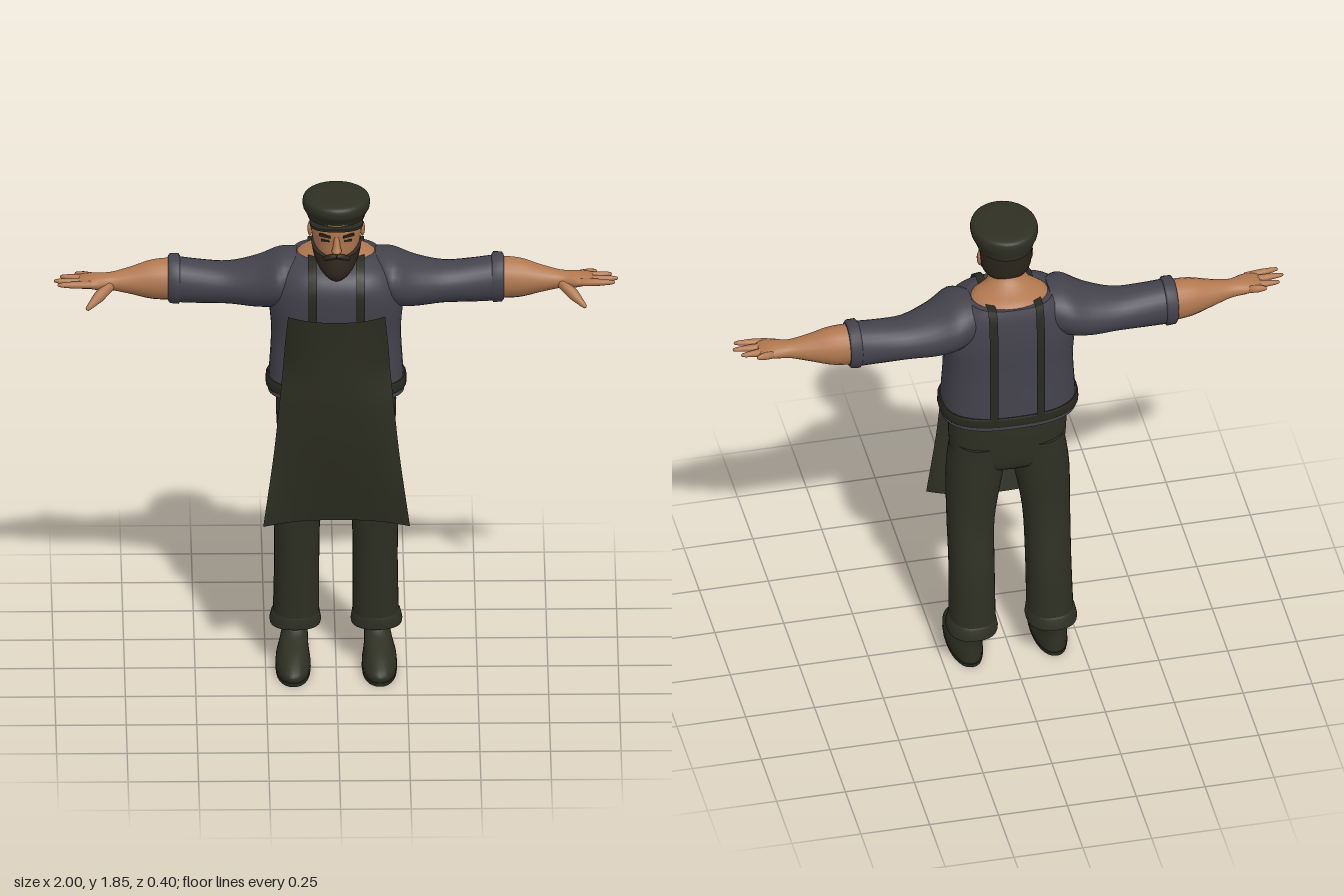
import * as THREE from 'three';

const mat = (name, hex) => {
  const m = new THREE.MeshStandardMaterial({ color: hex, side: THREE.DoubleSide });
  m.name = name;
  return m;
};

// Refine rows of numbers with a Catmull-Rom spline, k steps per span
function smooth(rows, k = 4) {
  const out = [], n = rows.length;
  const row = i => rows[Math.max(0, Math.min(n - 1, i))];
  for (let i = 0; i < n - 1; i++) {
    for (let s = 0; s < k; s++) {
      const t = s / k;
      out.push(rows[i].map((b, c) => {
        const a = row(i - 1)[c], d = row(i + 1)[c], e = row(i + 2)[c];
        return 0.5 * (2 * b + (d - a) * t + (2 * a - 5 * b + 4 * d - e) * t * t + (3 * b - a - 3 * d + e) * t * t * t);
      }));
    }
  }
  out.push(rows[n - 1]);
  return out;
}

// Capped skin over oval rings. Axis y: [y, cx, cz, rx, rz]; axis x: [x, cy, cz, ry, rz]
function loft(rows, { axis = 'y', p = 2, tilt = 0, n = 28 } = {}) {
  const pos = [], idx = [];
  const pw = v => Math.sign(v) * Math.abs(v) ** (2 / p);
  const put = ([s, c1, c2, a, b], u, v) => {
    if (axis === 'y') pos.push(c1 + a * u, s - tilt * b * v, c2 + b * v);
    else pos.push(s, c1 + a * u, c2 - b * v);
  };
  const ring = r => {
    for (let j = 0; j < n; j++) {
      const t = j / n * Math.PI * 2;
      put(r, pw(Math.cos(t)), pw(Math.sin(t)));
    }
  };
  rows.forEach(ring);
  for (let i = 0; i < rows.length - 1; i++) {
    for (let j = 0; j < n; j++) {
      const a = i * n + j, b = i * n + (j + 1) % n;
      idx.push(a, a + n, b + n, a, b + n, b);
    }
  }
  [rows[0], rows[rows.length - 1]].forEach((r, end) => {
    const base = pos.length / 3;
    ring(r);
    put(r, 0, 0);
    for (let j = 0; j < n; j++) {
      const a = base + j, b = base + (j + 1) % n;
      idx.push(base + n, ...(end ? [b, a] : [a, b]));
    }
  });
  return surface(pos, idx);
}

function surface(pos, idx) {
  const g = new THREE.BufferGeometry();
  g.setAttribute('position', new THREE.Float32BufferAttribute(pos, 3));
  g.setIndex(idx);
  g.computeVertexNormals();
  return g;
}

// Open sheet through rows of points
function sheet(rows) {
  const w = rows[0].length, idx = [];
  for (let i = 0; i < rows.length - 1; i++)
    for (let j = 0; j < w - 1; j++) {
      const a = i * w + j;
      idx.push(a, a + w, a + 1, a + 1, a + w, a + w + 1);
    }
  return surface(rows.flat(2), idx);
}

function mirror(geo) {
  const g = geo.clone().scale(-1, 1, 1), ix = g.index.array;
  for (let i = 0; i < ix.length; i += 3) [ix[i], ix[i + 1]] = [ix[i + 1], ix[i]];
  return g;
}

// Tapered round finger between two points
function finger(from, to, r0, r1) {
  const a = new THREE.Vector3(...from), d = new THREE.Vector3(...to).sub(a), L = d.length();
  const prof = [[0.001, 0], [r0, 0.002], [r0 * 0.95, L * 0.5], [r1, L * 0.85], [r1 * 0.65, L * 0.97], [0.0005, L]];
  const g = new THREE.LatheGeometry(prof.map(q => new THREE.Vector2(...q)), 10);
  g.applyQuaternion(new THREE.Quaternion().setFromUnitVectors(new THREE.Vector3(0, 1, 0), d.normalize()));
  return g.translate(...from);
}

export function createModel() {
  const model = new THREE.Group();
  const shirt = mat('shirt grey', 0x44434d), skin = mat('skin', 0xb1784f);
  const cloth = mat('dark olive cloth', 0x2f3023), apronMat = mat('apron olive', 0x2d2e21);
  const hair = mat('dark brown hair', 0x2b241a), strapMat = mat('strap', 0x282a20);

  const add = (name, geo, m) => {
    const mesh = new THREE.Mesh(geo, m);
    mesh.name = name;
    model.add(mesh);
  };
  const pair = (name, geo, m) => {
    add(name + 'Left', geo, m);
    add(name + 'Right', mirror(geo), m);
  };

  // Shirt body, belt and bare shoulders
  const P = 2.6;
  const torso = smooth([
    [1.075, 0, -0.032, 0.242, 0.155], [1.15, 0, -0.032, 0.238, 0.158], [1.3, 0, -0.034, 0.23, 0.155],
    [1.42, 0, -0.028, 0.238, 0.164], [1.5, 0, -0.025, 0.225, 0.163], [1.555, 0, -0.035, 0.195, 0.145],
    [1.59, 0, -0.058, 0.15, 0.11]]);
  add('shirtBody', loft(torso, { p: P, n: 40 }), shirt);
  add('belt', loft([[1.092, 0, -0.032, 0.246, 0.16], [1.098, 0, -0.032, 0.25, 0.164],
    [1.125, 0, -0.032, 0.249, 0.164], [1.131, 0, -0.032, 0.244, 0.161]], { p: P, n: 40 }), strapMat);
  add('neck', loft(smooth([[1.583, 0, -0.058, 0.146, 0.107], [1.602, 0, -0.056, 0.122, 0.09],
    [1.625, 0, -0.035, 0.08, 0.068], [1.66, 0, -0.008, 0.062, 0.06], [1.72, 0, 0, 0.06, 0.06]])), skin);

  // Straps lie on the shirt, front to back over the shoulder
  const onShirt = (row, x, side) => {
    const [y, , cz, a, b] = row;
    return [x, y + (y > 1.54 ? 0.008 : 0), cz + side * (b * Math.max(0, 1 - (x / a) ** P) ** (1 / P) + 0.007)];
  };
  const front = torso.filter(r => r[0] > 1.38), back = torso.filter(r => r[0] > 1.1).reverse();
  const strip = side => r => [0.07, 0.085, 0.1].map(x => onShirt(r, x, side));
  pair('strap', sheet([...front.map(strip(1)), ...back.map(strip(-1))]), strapMat);

  // Sleeves, rolled cuffs and forearms
  pair('sleeve', loft(smooth([
    [0.14, 1.515, -0.055, 0.083, 0.105], [0.2, 1.497, -0.045, 0.1, 0.135], [0.28, 1.473, -0.058, 0.088, 0.115],
    [0.38, 1.463, -0.07, 0.074, 0.09], [0.48, 1.465, -0.075, 0.078, 0.08], [0.58, 1.472, -0.08, 0.084, 0.077]]),
    { axis: 'x' }), shirt);
  pair('cuff', loft([[0.552, 1.472, -0.08, 0.083, 0.076], [0.558, 1.473, -0.08, 0.092, 0.083],
    [0.588, 1.474, -0.08, 0.09, 0.082], [0.595, 1.474, -0.08, 0.08, 0.074]], { axis: 'x' }), shirt);
  pair('forearm', loft(smooth([
    [0.57, 1.473, -0.08, 0.076, 0.071], [0.65, 1.473, -0.075, 0.071, 0.065], [0.73, 1.472, -0.068, 0.048, 0.05],
    [0.8, 1.473, -0.06, 0.031, 0.038], [0.85, 1.476, -0.052, 0.027, 0.047], [0.89, 1.48, -0.05, 0.018, 0.05],
    [0.91, 1.481, -0.05, 0.01, 0.043]]), { axis: 'x', n: 20 }), skin);

  // Four fingers and a thumb
  [[-0.088, 0.925, -0.102], [-0.065, 0.978, -0.076], [-0.037, 1.0, -0.037], [-0.012, 0.988, 0]].forEach(([z0, x, z], i) =>
    pair('finger' + (i + 1), finger([0.865, 1.479, z0], [x, 1.484, z], 0.014, 0.009), skin));
  pair('thumb', finger([0.8, 1.468, -0.04], [0.885, 1.405, 0.042], 0.021, 0.011), skin);

  // Trousers
  add('hips', loft(smooth([[0.83, 0, -0.025, 0.15, 0.075], [0.87, 0, -0.022, 0.2, 0.112],
    [1.0, 0, -0.022, 0.213, 0.124], [1.11, 0, -0.022, 0.21, 0.126]]), { p: 2.3 }), cloth);
  pair('trouserLeg', loft(smooth([
    [0.19, 0.141, -0.083, 0.082, 0.09], [0.4, 0.139, -0.066, 0.08, 0.095], [0.6, 0.137, -0.04, 0.084, 0.092],
    [0.8, 0.12, -0.026, 0.1, 0.108], [0.95, 0.1, -0.022, 0.1, 0.115]]), { p: 2.3 }), cloth);
  pair('trouserCuff', loft([[0.145, 0.144, -0.09, 0.09, 0.095], [0.155, 0.144, -0.088, 0.092, 0.096],
    [0.185, 0.143, -0.085, 0.086, 0.093], [0.195, 0.142, -0.083, 0.08, 0.088]], { p: 2.3 }), cloth);

  // Shoes
  pair('shoe', loft(smooth([
    [0.012, 0.153, 0.015, 0.06, 0.157], [0.035, 0.153, 0.016, 0.062, 0.158], [0.06, 0.153, 0.002, 0.058, 0.143],
    [0.09, 0.15, -0.025, 0.051, 0.115], [0.13, 0.145, -0.074, 0.045, 0.07], [0.17, 0.142, -0.085, 0.043, 0.055]]),
    { p: 2.2 }), cloth);
  pair('sole', loft([[0, 0.153, 0.015, 0.061, 0.16], [0.014, 0.153, 0.015, 0.063, 0.161]], { p: 2.2 }), strapMat);

  // Apron rows: y, half width, z at the middle, z at the edge
  const apron = smooth([[1.42, 0.172, 0.2, 0.145], [1.3, 0.183, 0.187, 0.115], [1.2, 0.19, 0.181, 0.1],
    [1.1, 0.2, 0.175, 0.12], [1.0, 0.21, 0.162, 0.125], [0.85, 0.226, 0.135, 0.122], [0.6, 0.26, 0.07, 0.128]]);
  add('apron', sheet(apron.map(([y, w, zm, ze]) => Array.from({ length: 21 }, (_, j) => {
    const u = j / 10 - 1;
    return [u * w, y, zm + (ze - zm) * Math.abs(u) ** 2.5];
  }))), apronMat);

  // Head, ears, nose and hair
  add('head', loft(smooth([
    [1.585, 0, 0.075, 0.03, 0.04], [1.61, 0, 0.06, 0.055, 0.065], [1.65, 0, 0.042, 0.076, 0.09],
    [1.69, 0, 0.035, 0.086, 0.1], [1.73, 0, 0.035, 0.09, 0.105], [1.78, 0, 0.03, 0.09, 0.105]])), skin);
  pair('ear', new THREE.SphereGeometry(1, 12, 10).scale(0.009, 0.028, 0.017).translate(0.093, 1.705, 0.012), skin);
  add('nose', loft(smooth([[1.664, 0, 0.138, 0.011, 0.016], [1.671, 0, 0.14, 0.018, 0.025],
    [1.69, 0, 0.138, 0.013, 0.018], [1.725, 0, 0.13, 0.009, 0.013]]), { n: 14 }), skin);
  add('hair', loft(smooth([[1.645, 0, -0.01, 0.062, 0.052], [1.67, 0, -0.008, 0.084, 0.064],
    [1.72, 0, -0.006, 0.093, 0.069], [1.77, 0, -0.006, 0.094, 0.07]])), hair);

  // Beard, moustache, brows and eyes
  add('beard', loft(smooth([
    [1.553, 0, 0.11, 0.01, 0.014], [1.572, 0, 0.1, 0.04, 0.036], [1.602, 0, 0.084, 0.064, 0.06],
    [1.64, 0, 0.068, 0.081, 0.074], [1.676, 0, 0.058, 0.089, 0.08]]), { tilt: 0.45 }), hair);
  pair('moustache', finger([0, 1.654, 0.141], [0.048, 1.636, 0.125], 0.011, 0.008), hair);
  pair('brow', new THREE.BoxGeometry(0.042, 0.009, 0.008).rotateZ(0.12).rotateY(0.33).translate(0.042, 1.727, 0.13), hair);
  pair('eye', new THREE.BoxGeometry(0.03, 0.007, 0.006).rotateY(0.33).translate(0.04, 1.707, 0.127), hair);

  // Cap with a short peak
  add('cap', loft(smooth([
    [1.757, 0, 0.018, 0.1, 0.114], [1.775, 0, 0.02, 0.106, 0.12], [1.8, 0, 0.026, 0.118, 0.132],
    [1.825, 0, 0.027, 0.119, 0.134], [1.84, 0, 0.026, 0.108, 0.122], [1.847, 0, 0.026, 0.07, 0.08]]), { n: 36 }), cloth);
  add('capPeak', loft([[1.755, 0, 0.085, 0.095, 0.08], [1.764, 0, 0.085, 0.095, 0.08]], { p: 2.5 }), strapMat);

  return model;
}
